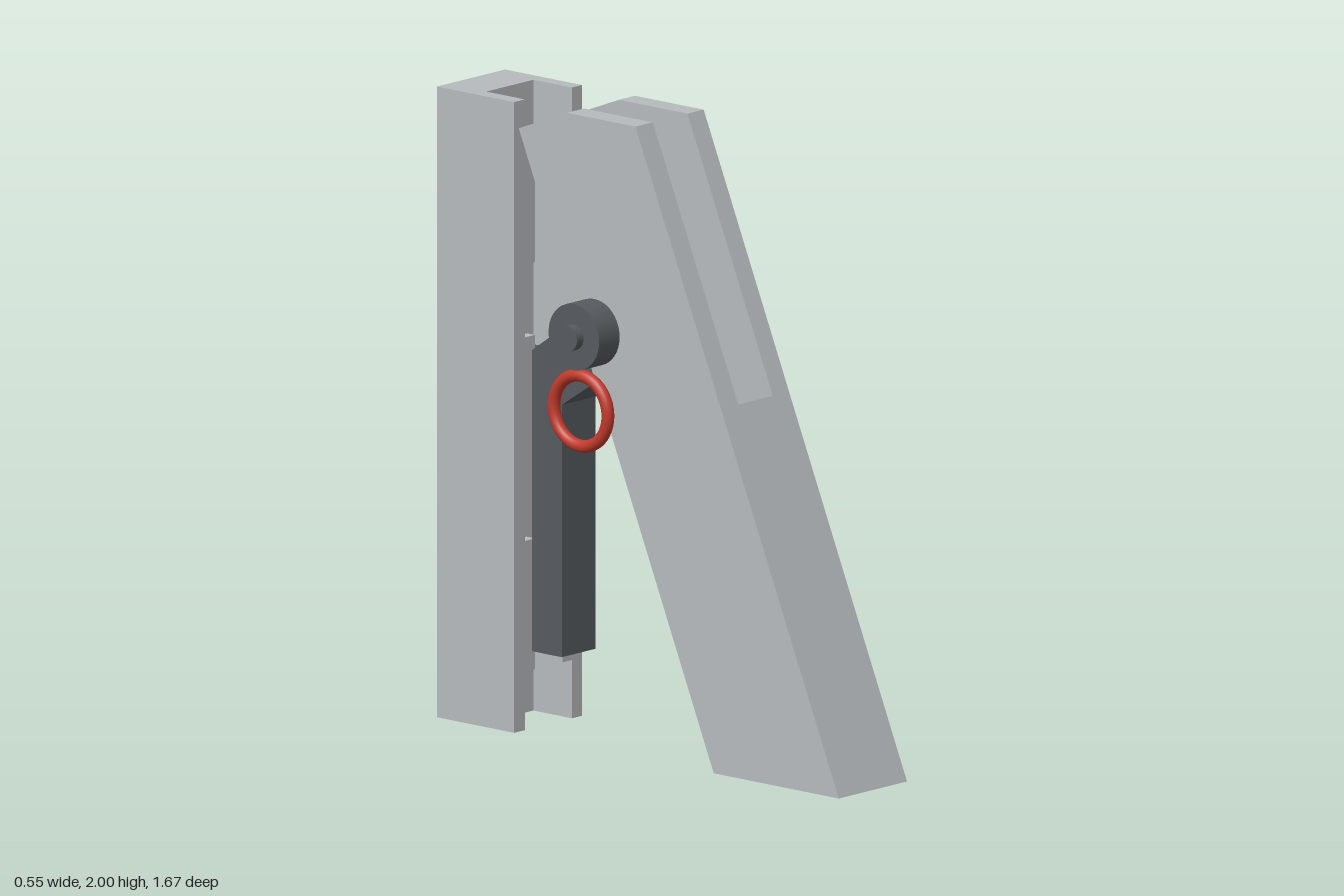
import * as THREE from 'three';

const steel = new THREE.MeshStandardMaterial({ color: 0xb6babd });
steel.name = 'light steel';
const dark = new THREE.MeshStandardMaterial({ color: 0x565b5f });
dark.name = 'dark steel';
const red = new THREE.MeshStandardMaterial({ color: 0xc0392b });
red.name = 'red';

const MID = 0.0475; // shared centre line of leg, bracket and post
const PIN = { y: 1.335, z: -0.145 };

export function createModel() {
  const model = new THREE.Group();
  model.name = 'hingedProp';

  const group = (name) => {
    const g = new THREE.Group();
    g.name = name;
    model.add(g);
    return g;
  };
  const add = (parent, name, geometry, material) => {
    const m = new THREE.Mesh(geometry, material);
    m.name = name;
    parent.add(m);
    return m;
  };
  const polygon = (pts) => new THREE.Shape(pts.map(([a, b]) => new THREE.Vector2(a, b)));
  // Side profile given as [z, y], extruded from x0 to x1
  const sideExtrude = (pts, x0, x1) =>
    new THREE.ExtrudeGeometry(polygon(pts.map(([z, y]) => [-z, y])), { depth: x1 - x0, bevelEnabled: false })
      .rotateY(Math.PI / 2).translate(x0, 0, 0);
  const box = (x0, x1, y0, y1, z0, z1) =>
    new THREE.BoxGeometry(x1 - x0, y1 - y0, z1 - z0)
      .translate((x0 + x1) / 2, (y0 + y1) / 2, (z0 + z1) / 2);
  // Round bar along x
  const barX = (r, x0, x1) =>
    new THREE.CylinderGeometry(r, r, x1 - x0, 40).rotateZ(Math.PI / 2)
      .translate((x0 + x1) / 2, PIN.y, PIN.z);

  // Slanted leg: two full cheeks and a solid core below the slot
  const leg = group('slantedLeg');
  const cheek = [[0.835, 0], [-0.01, 2], [-0.295, 2], [-0.495, 1.92], [0.315, 0]];
  const core = [[0.835, 0], [0.345, 1.16], [0.005, 0.734], [0.315, 0]];
  add(leg, 'rightCheek', sideExtrude(cheek, -0.11, -0.03), steel);
  add(leg, 'leftCheek', sideExtrude(cheek, 0.13, 0.205), steel);
  add(leg, 'legCore', sideExtrude(core, -0.03, 0.13), steel);

  // Upright post: U channel in plan, [x, -z]
  const post = group('uprightPost');
  const plan = [[-0.11, 0.515], [-0.06, 0.515], [-0.06, 0.71], [0.158, 0.71],
    [0.158, 0.515], [0.205, 0.515], [0.205, 0.835], [-0.11, 0.835]];
  add(post, 'channel', new THREE.ExtrudeGeometry(polygon(plan), { depth: 2, bevelEnabled: false })
    .rotateX(-Math.PI / 2), steel);

  // Channel back plate with locating holes
  const plate = polygon([[-0.06, 0], [0.158, 0], [0.158, 2], [-0.06, 2]]);
  const pitch = 0.645;
  for (let i = 0; i < 3; i++) {
    const hole = new THREE.Path();
    hole.absarc(0.05, 1.683 - i * pitch, 0.03, 0, Math.PI * 2, true);
    plate.holes.push(hole);
  }
  add(post, 'channelBackPlate', new THREE.ExtrudeGeometry(plate, { depth: 0.035, bevelEnabled: false, curveSegments: 24 })
    .translate(0, 0, -0.71), steel);

  // Retaining tabs along both channel lips
  for (let i = 0; i < 3; i++) {
    const y0 = 1.475 - i * pitch, y1 = 1.89 - i * pitch;
    add(post, 'rightTab', box(-0.06, -0.013, y0, y1, -0.55, -0.515), steel);
    add(post, 'leftTab', box(0.115, 0.158, y0, y1, -0.55, -0.515), steel);
  }

  // Sliding bracket with a bent arm and rounded eye
  const bracket = group('slidingBracket');
  const profile = [[-0.39, 0.245], [-0.39, 1.045]];
  const start = -0.96, sweep = Math.PI;
  for (let i = 0; i <= 16; i++) {
    const a = start + sweep * i / 16;
    profile.push([PIN.z + 0.105 * Math.cos(a), PIN.y + 0.105 * Math.sin(a)]);
  }
  profile.push([-0.513, 1.2], [-0.513, 0.245]);
  add(bracket, 'bracketArm', sideExtrude(profile, -0.028, 0.128), dark);

  // T-shaped heads that lock behind the tabs
  for (const y of [1.055, 1.055 - pitch]) {
    add(bracket, 'lockNeck', box(-0.01, 0.112, y - 0.108, y + 0.108, -0.552, -0.51), dark);
    add(bracket, 'lockHead', box(-0.055, 0.153, y - 0.108, y + 0.108, -0.67, -0.552), dark);
    add(bracket, 'locatingStud', new THREE.CylinderGeometry(0.02, 0.02, 0.02, 20)
      .rotateX(Math.PI / 2).translate(0.05, y, -0.672), dark);
  }

  // Pivot pin with collar and cross pin
  const pin = group('pivotPin');
  add(pin, 'pinShaft', barX(0.056, -0.16, 0.27), dark);
  add(pin, 'pinCollar', barX(0.105, -0.245, -0.15), dark);
  add(pin, 'pinEnd', barX(0.04, -0.275, -0.24), dark);
  add(pin, 'crossPin', new THREE.CapsuleGeometry(0.021, 0.108, 8, 20)
    .rotateX(Math.PI / 2).translate(0.24, PIN.y, PIN.z), dark);

  // Pull ring hanging below the collar
  add(model, 'pullRing', new THREE.TorusGeometry(0.112, 0.02, 16, 56)
    .rotateY(Math.PI / 2).translate(-0.212, 1.096, PIN.z), red);

  return model;
}
